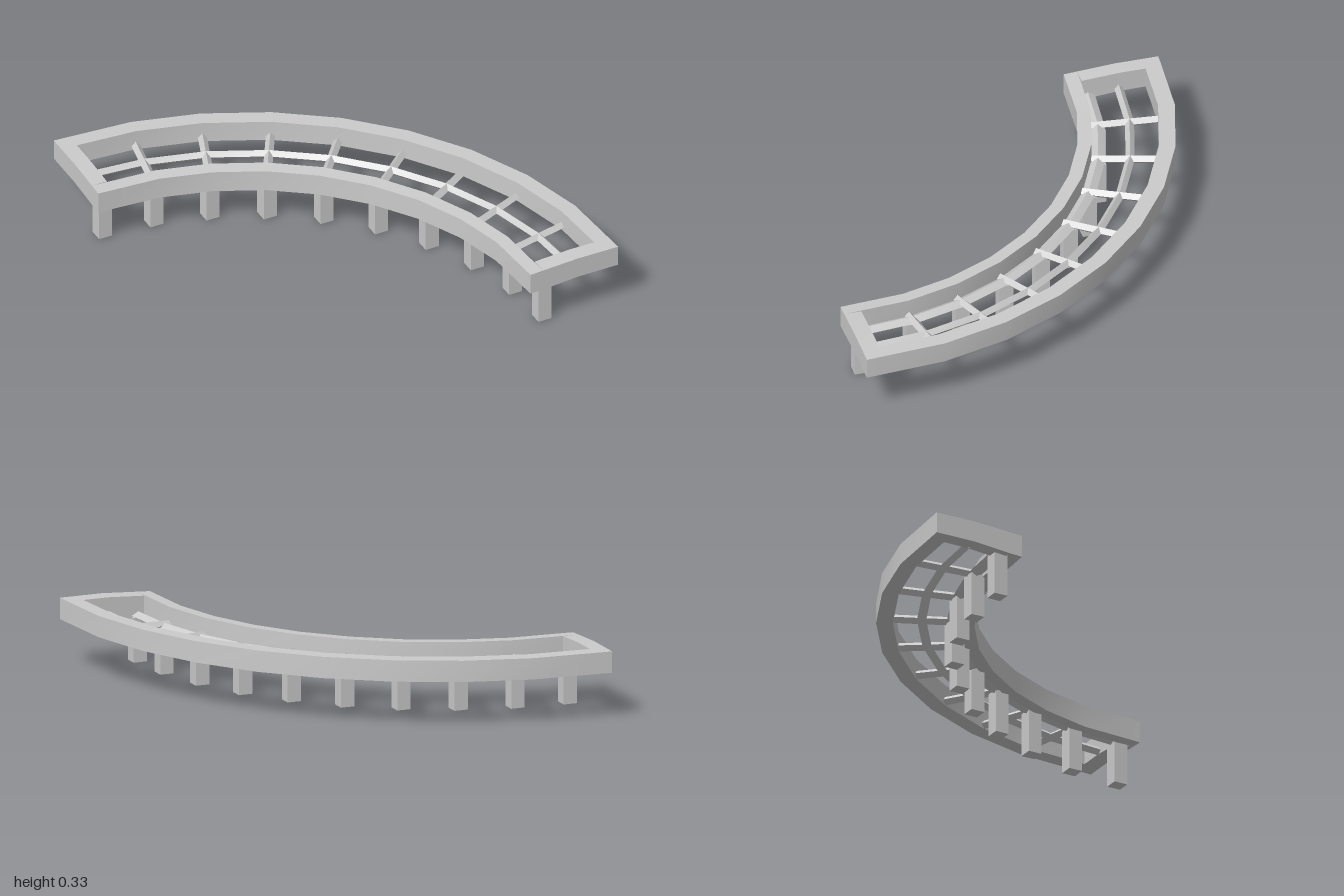
import * as THREE from 'three';
import { toCreasedNormals } from 'three/addons/utils/BufferGeometryUtils.js';

const C = 0.94;          // arc centre is (-C, C) in plan
const STEPS = 9;         // ten degrees each
const R_IN = 1.473, R_IN2 = 1.54, R_MID = 1.725, R_OUT2 = 1.862, R_OUT = 1.942;

// Plan position at radius r and step i; the two ends run straight out to `end`
function plan(r, i, y, end = 1) {
  if (i === 0) return new THREE.Vector3(-end, y, C - r);
  if (i === STEPS) return new THREE.Vector3(r - C, y, end);
  const a = (i / STEPS) * Math.PI / 2;
  return new THREE.Vector3(-C + r * Math.sin(a), y, C - r * Math.cos(a));
}

// Closed solid through rings of points; profile is counter-clockwise in (r, y)
function loft(rings, profile) {
  const n = profile.length, pos = [];
  const tri = (...pts) => pts.forEach((p) => pos.push(p.x, p.y, p.z));
  for (let s = 0; s < rings.length - 1; s++) {
    for (let k = 0; k < n; k++) {
      const j = (k + 1) % n;
      const a = rings[s][k], b = rings[s][j], c = rings[s + 1][j], d = rings[s + 1][k];
      tri(a, b, d);
      tri(b, c, d);
    }
  }
  const first = rings[0], last = rings[rings.length - 1];
  const contour = profile.map(([r, y]) => new THREE.Vector2(r, y));
  for (const [a, b, c] of THREE.ShapeUtils.triangulateShape(contour, [])) {
    tri(first[a], first[c], first[b]);
    tri(last[a], last[b], last[c]);
  }
  const g = new THREE.BufferGeometry();
  g.setAttribute('position', new THREE.Float32BufferAttribute(pos, 3));
  return toCreasedNormals(g, 0.5);
}

function sweepArc(profile, end = 1) {
  const rings = [];
  for (let i = 0; i <= STEPS; i++) rings.push(profile.map(([r, y]) => plan(r, i, y, end)));
  return loft(rings, profile);
}

const diamond = (r, y, w, h) => [[r, y - h], [r + w, y], [r, y + h], [r - w, y]];

export function createModel() {
  const model = new THREE.Group();
  const mat = new THREE.MeshStandardMaterial({ color: 0xcccccc });
  const add = (name, geo) => {
    const m = new THREE.Mesh(geo, mat);
    m.name = name;
    model.add(m);
    return m;
  };

  // Curved rails of the frame, the inner one slightly lower
  add('outerRail', sweepArc([[R_OUT2, 0.225], [R_OUT, 0.225], [R_OUT, 0.33], [R_OUT2, 0.33]]));
  add('innerRail', sweepArc([[R_IN, 0.205], [R_IN2, 0.208], [R_IN2, 0.319], [R_IN, 0.315]]));

  // End boards closing the frame
  const board = [[R_IN2, 0.208], [R_MID, 0.224], [R_OUT2, 0.225], [R_OUT2, 0.33], [R_MID, 0.33], [R_IN2, 0.319]];
  const ends = [[0, 1, 0.92], [STEPS, 0.915, 1]];
  for (const [i, from, to] of ends) {
    add('endBoard', loft([from, to].map((e) => board.map(([r, y]) => plan(r, i, y, e))), board));
  }

  // Lengthwise bars
  add('middleBar', sweepArc(diamond(R_MID, 0.24, 0.022, 0.022), 0.93));
  add('postBeam', sweepArc(diamond(1.572, 0.226, 0.034, 0.02), 0.93));

  // Radial cross bars
  for (let i = 1; i < STEPS; i++) {
    const a = plan(R_IN2 - 0.02, i, 0.23), b = plan(R_OUT2 + 0.02, i, 0.248);
    const geo = new THREE.CylinderGeometry(0.022, 0.022, a.distanceTo(b), 4).toNonIndexed();
    geo.rotateX(Math.PI / 2);
    geo.computeVertexNormals();
    const bar = add('crossBar', geo);
    bar.position.copy(a).lerp(b, 0.5);
    bar.lookAt(b);
  }

  // Square posts, all facing the same way
  const postGeo = new THREE.BoxGeometry(0.07, 0.22, 0.07);
  for (let i = 0; i <= STEPS; i++) {
    add('post', postGeo).position.copy(plan(1.568, i, 0.11, 0.93));
  }
  return model;
}
